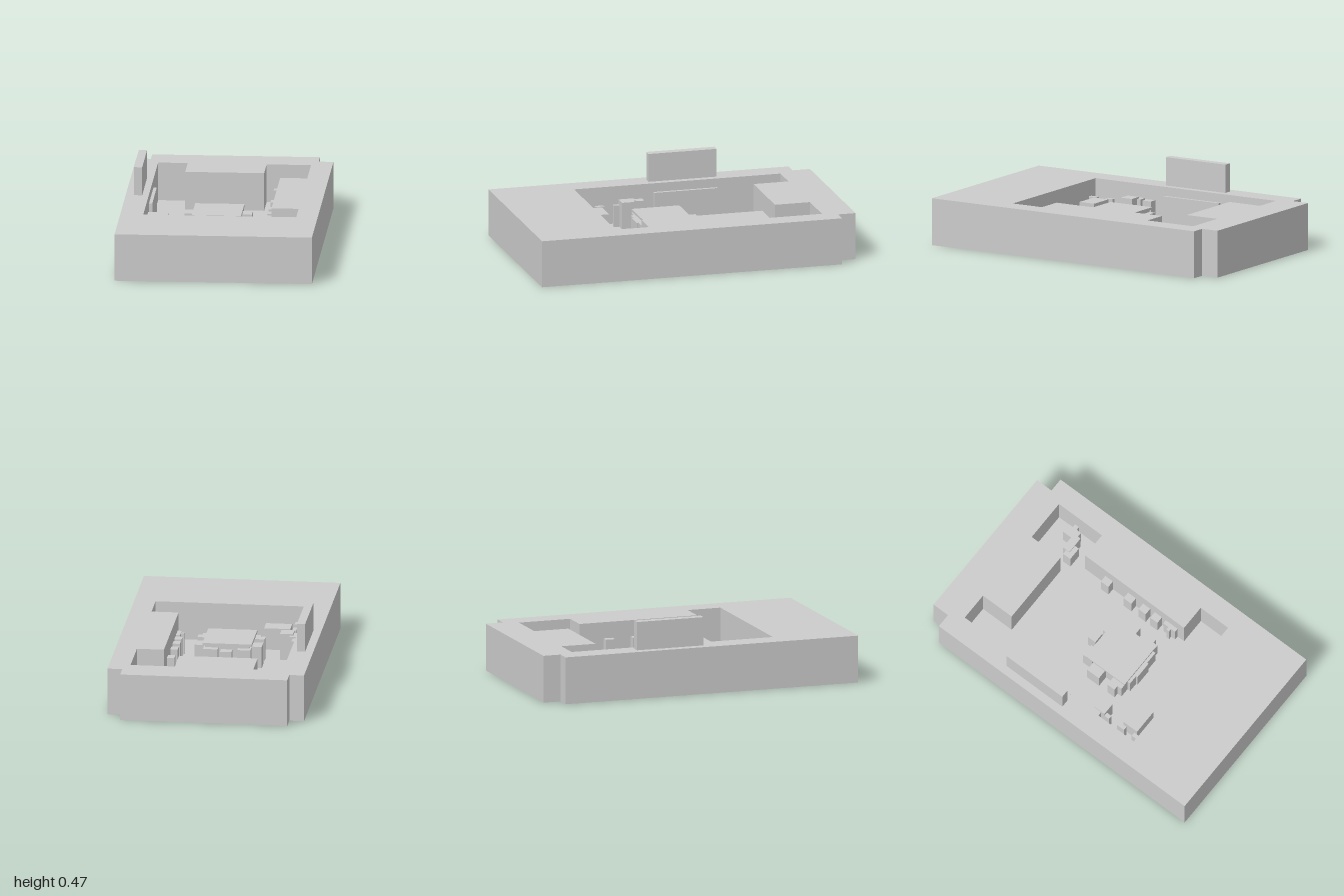
import * as THREE from 'three';

const grey = new THREE.MeshStandardMaterial({ color: 0xcccccc, flatShading: true });
const greyDouble = new THREE.MeshStandardMaterial({ color: 0xcccccc, flatShading: true, side: THREE.DoubleSide });

const WALL_H = 0.29, FLOOR_Y = 0.055;

export function createModel() {
  const model = new THREE.Group();

  const add = (geometry, name, parent = model, material = grey) => {
    const mesh = new THREE.Mesh(geometry, material);
    mesh.name = name;
    parent.add(mesh);
    return mesh;
  };
  const group = (name) => {
    const g = new THREE.Group();
    g.name = name;
    model.add(g);
    return g;
  };
  // Box given by its plan limits and its bottom and top heights
  const block = (name, [x0, x1, z0, z1], y0, y1, parent) => {
    const mesh = add(new THREE.BoxGeometry(x1 - x0, y1 - y0, z1 - z0), name, parent);
    mesh.position.set((x0 + x1) / 2, (y0 + y1) / 2, (z0 + z1) / 2);
  };
  // Plan outlines are (x, z) pairs
  const plan = (pts) => pts.map(([x, z]) => new THREE.Vector2(x, -z));

  const outline = plan([
    [-0.6, 1], [0.6, 1], [0.6, -0.89], [0.51, -0.89],
    [0.51, -1], [-0.51, -1], [-0.51, -0.89], [-0.6, -0.89],
  ]);
  const room = plan([
    [-0.46, 0.5], [0.47, 0.5], [0.47, 0.29], [0.305, 0.29], [0.305, -0.47], [0.47, -0.47],
    [0.47, -0.8], [0.2, -0.8], [0.2, -0.58], [-0.28, -0.58], [-0.28, -0.8], [-0.46, -0.8],
  ]);

  // Thick surround with the room cut through it
  const shape = new THREE.Shape(outline);
  shape.holes.push(new THREE.Path(room));
  const walls = new THREE.ExtrudeGeometry(shape, { depth: WALL_H, bevelEnabled: false });
  add(walls.rotateX(-Math.PI / 2), 'walls');

  // Thin floor, a little above the underside
  const floor = new THREE.ShapeGeometry(new THREE.Shape(room)).rotateX(-Math.PI / 2);
  add(floor.translate(0, FLOOR_Y, 0), 'floor', model, greyDouble);

  // Upright panels
  block('upperPanel', [-0.55, -0.5, -0.41, 0.02], WALL_H, 0.465);
  block('wallPanel', [-0.46, -0.44, -0.4, 0], 0, 0.235);

  // Central table with chairs pushed in around it
  const dining = group('diningSet');
  block('tableBase', [-0.17, 0.1, -0.07, 0.2], 0, 0.205, dining);
  block('tableTop', [-0.185, 0.115, -0.085, 0.215], 0.205, 0.22, dining);
  const chairs = [
    [-0.18, -0.1, -0.11, -0.04], [0.02, 0.11, -0.11, -0.04],
    [-0.24, -0.16, -0.03, 0.06], [-0.24, -0.16, 0.125, 0.18], [-0.21, -0.14, 0.15, 0.21],
    [0.08, 0.17, -0.03, 0.06], [0.08, 0.17, 0.125, 0.18], [0.07, 0.145, 0.15, 0.21],
    [-0.15, -0.09, 0.17, 0.23], [-0.09, 0.02, 0.17, 0.24], [0.02, 0.1, 0.17, 0.23],
    [-0.07, 0, -0.155, -0.1],
  ];
  chairs.forEach((c) => block('chair', c, 0, 0.19, dining));

  // Row of stools along the counter
  const stools = group('counterStools');
  [[-0.315, -0.257], [-0.14, -0.08], [-0.025, 0.03], [0.065, 0.12], [0.19, 0.21]]
    .forEach(([z0, z1]) => block('stool', [0.26, 0.305, z0, z1], 0, 0.19, stools));
  block('stoolBack', [0.28, 0.305, 0.15, 0.24], 0, 0.19, stools);

  // Stepped seat in the alcove
  const alcove = group('alcoveSeat');
  [
    [0.26, 0.345, -0.605, -0.55, 0.19], [0.29, 0.4, -0.63, -0.58, 0.2],
    [0.37, 0.43, -0.69, -0.6, 0.2], [0.43, 0.455, -0.665, -0.635, 0.19],
  ].forEach(([x0, x1, z0, z1, h]) => block('seatStep', [x0, x1, z0, z1], 0, h, alcove));

  // Corner furniture beside the wall
  const corner = group('cornerFurniture');
  [
    [-0.46, -0.41, 0.07, 0.15, 0.2], [-0.44, -0.39, 0.13, 0.21, 0.21],
    [-0.41, -0.33, 0.155, 0.235, 0.22], [-0.41, -0.385, 0.235, 0.27, 0.19],
    [-0.41, -0.385, 0.33, 0.385, 0.19], [-0.41, -0.385, 0.445, 0.5, 0.19],
  ].forEach(([x0, x1, z0, z1, h]) => block('cornerSeat', [x0, x1, z0, z1], 0, h, corner));
  block('sideTable', [-0.37, -0.21, 0.35, 0.455], 0, 0.19, corner);

  return model;
}
